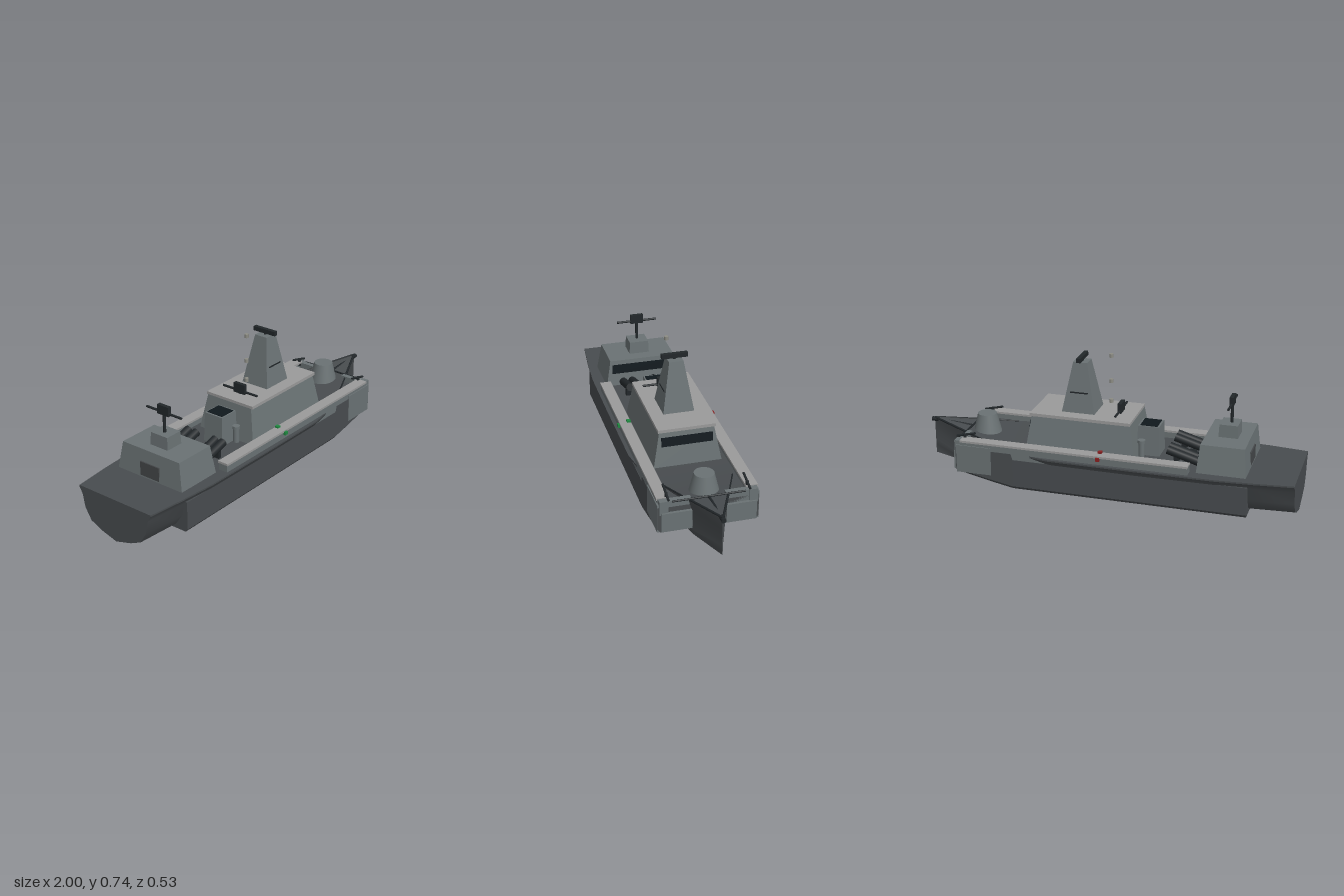
import * as THREE from 'three';
import { toCreasedNormals } from 'three/addons/utils/BufferGeometryUtils.js';

const mat = (color) => new THREE.MeshStandardMaterial({ color });
const hullMat = mat(0x484c4f), deckMat = mat(0x45484a), wallMat = mat(0x6a7274),
  roofMat = mat(0x9a9a9a), darkMat = mat(0x22272a), glassMat = mat(0x10181d),
  redMat = mat(0x8a2020), greenMat = mat(0x1f8a40), lampMat = mat(0x8c8c84);

// Closed mirrored body from stations { x, half: [[z, y], ...] } listed from top edge to keel.
function loft(stations) {
  const pos = [], idx = [];
  const rings = stations.map(({ x, half }) => {
    const other = half.filter(([z], i) => i < half.length - 1 || z > 0).reverse();
    return [...half.map(([z, y]) => [x, y, z]), ...other.map(([z, y]) => [x, y, -z])];
  });
  const n = rings[0].length;
  rings.forEach((r) => r.forEach((p) => pos.push(...p)));
  for (let i = 0; i < rings.length - 1; i++) {
    for (let j = 0; j < n; j++) {
      const k = (j + 1) % n, a = i * n + j, b = i * n + k;
      idx.push(a, b, b + n, a, b + n, a + n);
    }
  }
  // end caps fan out from a middle point
  [0, rings.length - 1].forEach((s) => {
    const y = rings[s].reduce((t, p) => t + p[1], 0) / n, c = pos.length / 3;
    pos.push(rings[s][0][0], y, 0);
    for (let j = 0; j < n; j++) {
      const a = s * n + j, b = s * n + (j + 1) % n;
      idx.push(c, ...(s ? [a, b] : [b, a]));
    }
  });
  const g = new THREE.BufferGeometry();
  g.setAttribute('position', new THREE.Float32BufferAttribute(pos, 3));
  g.setIndex(idx);
  return toCreasedNormals(g, 0.45);
}

// Box between two corners whose top can be drawn in by tx and tz on every side.
function block(x0, x1, y0, y1, z0, z1, tx = 0, tz = 0) {
  const g = new THREE.BoxGeometry(x1 - x0, y1 - y0, z1 - z0).toNonIndexed();
  const p = g.attributes.position;
  for (let i = 0; i < p.count; i++) {
    if (p.getY(i) > 0) {
      p.setX(i, p.getX(i) - Math.sign(p.getX(i)) * tx);
      p.setZ(i, p.getZ(i) - Math.sign(p.getZ(i)) * tz);
    }
  }
  g.translate((x0 + x1) / 2, (y0 + y1) / 2, (z0 + z1) / 2);
  g.computeVertexNormals();
  return g;
}

// Round bar between two points.
function rod(a, b, r, sides = 12) {
  const A = new THREE.Vector3(...a), B = new THREE.Vector3(...b), d = B.clone().sub(A);
  const g = new THREE.CylinderGeometry(r, r, d.length(), sides);
  g.applyQuaternion(new THREE.Quaternion().setFromUnitVectors(new THREE.Vector3(0, 1, 0), d.normalize()));
  return g.translate(...A.add(B).multiplyScalar(0.5).toArray());
}

export function createModel() {
  const ship = new THREE.Group();
  ship.name = 'ship';
  const add = (name, geometry, material) => {
    const m = new THREE.Mesh(geometry, material);
    m.name = name;
    ship.add(m);
    return m;
  };

  // Main hull: flared sides and shallow V bottom
  const mid = (x, w) => ({
    x, half: [[w, 0.23], [w, 0.222], [0.92 * w, 0.19], [0.86 * w, 0.12], [0.7 * w, 0.06], [0.42 * w, 0.03], [0, 0.003]],
  });
  add('hull', loft([
    mid(-1, 0.228), mid(-0.8, 0.25), mid(-0.6, 0.265), mid(-0.2, 0.267), mid(0.25, 0.265),
    { x: 0.4, half: [[0.24, 0.231], [0.24, 0.222], [0.22, 0.19], [0.2, 0.12], [0.17, 0.06], [0.11, 0.03], [0, 0.003]] },
    { x: 0.57, half: [[0.18, 0.238], [0.178, 0.228], [0.165, 0.19], [0.145, 0.12], [0.135, 0.07], [0.1, 0.035], [0, 0.008]] },
    { x: 0.77, half: [[0.097, 0.262], [0.096, 0.252], [0.08, 0.2], [0.075, 0.12], [0.08, 0.09], [0.07, 0.06], [0, 0.035]] },
    { x: 0.985, half: [[0.002, 0.287], [0.002, 0.277], [0.002, 0.22], [0.002, 0.16], [0.002, 0.13], [0.002, 0.1], [0, 0.08]] },
  ]), hullMat);

  // Wide side body around the hull
  const side = (x, y, top) => ({ x, half: [[0.249, top], [0.249, y + 0.016], [0.236, y]] });
  add('sideBody', loft([
    side(-0.77, 0.036, 0.2), side(0.45, 0.036, 0.2), side(0.46, 0.037, 0.232),
    side(0.58, 0.06, 0.232), side(0.765, 0.1, 0.236),
  ]), hullMat);

  // Side bulwarks, bow fittings and side lights
  for (const s of [1, -1]) {
    const zBlock = (x0, x1, y0, y1, a, b) => block(x0, x1, y0, y1, s > 0 ? a : -b, s > 0 ? b : -a);
    add('bulwark', zBlock(-0.45, 0.74, 0.2, 0.265, 0.2, 0.247), wallMat);
    add('bulwarkCap', zBlock(-0.47, 0.74, 0.265, 0.276, 0.19, 0.25), roofMat);
    add('bulwarkEnd', zBlock(-0.47, -0.44, 0.23, 0.27, 0.195, 0.247), wallMat);
    add('sidePanel', zBlock(0.57, 0.76, 0.1, 0.25, 0.24, 0.252), wallMat);
    add('bowPlate', zBlock(0.755, 0.78, 0.11, 0.21, 0.085, 0.235), wallMat);
    add('bowUpperPlate', zBlock(0.735, 0.765, 0.2, 0.268, 0.085, 0.21), wallMat);
    add('bowPost', zBlock(0.735, 0.772, 0.2, 0.272, 0.2, 0.243), wallMat);
    add('bowGunPost', rod([0.73, 0.25, s * 0.2], [0.73, 0.295, s * 0.2], 0.008), darkMat);
    add('bowGun', rod([0.67, 0.305, s * 0.2], [0.775, 0.28, s * 0.2], 0.006), darkMat);
    add('gunwale', rod([0.77, 0.262, s * 0.093], [0.985, 0.285, 0], 0.006, 8), darkMat);
    add('deckEdge', rod([0.57, 0.24, s * 0.178], [0.77, 0.262, s * 0.095], 0.004, 6), darkMat);
    const lamp = s > 0 ? greenMat : redMat;
    add('outerSideLight', zBlock(-0.017, 0.003, 0.252, 0.27, 0.246, 0.26), lamp);
    add('innerSideLight', zBlock(-0.017, 0.003, 0.27, 0.286, 0.192, 0.212), lamp);
  }
  add('bowCrossBar', rod([0.765, 0.265, -0.18], [0.765, 0.265, 0.18], 0.005, 8), darkMat);
  add('bowsprit', rod([0.77, 0.262, 0], [0.97, 0.275, 0], 0.007, 8), darkMat);
  add('bowspritTip', rod([0.96, 0.275, 0], [1, 0.275, 0], 0.012, 12), darkMat);

  // Gun turret base on the foredeck
  add('turret', new THREE.CylinderGeometry(0.05, 0.078, 0.115, 24).translate(0.68, 0.287, 0), wallMat);

  // Main deckhouse with roof and bridge windows
  add('deckhouse', block(-0.175, 0.405, 0.228, 0.416, -0.175, 0.175, 0.027, 0.035), wallMat);
  add('deckhouseRoof', block(-0.147, 0.387, 0.414, 0.43, -0.148, 0.148), roofMat);
  const bridge = add('bridgeWindow', block(-0.004, 0.004, -0.023, 0.023, -0.131, 0.131), glassMat);
  bridge.position.set(0.389, 0.362, 0);
  bridge.rotation.z = 0.14;

  // Tapered mast with its scanner
  add('mast', block(0.06, 0.235, 0.43, 0.69, -0.08, 0.08, 0.05, 0.043), wallMat);
  for (const s of [1, -1]) {
    add('mastSlot', block(0.1, 0.195, 0.531, 0.538, s * 0.062 - 0.003, s * 0.062 + 0.003), darkMat);
  }
  add('scannerStub', rod([0.148, 0.685, 0], [0.148, 0.7, 0], 0.008), darkMat);
  add('scanner', block(0.137, 0.159, 0.697, 0.72, -0.068, 0.068), darkMat);

  // Smaller rotating antennas on posts
  const antenna = (x, y0, yBar, y1) => {
    add('antennaPost', rod([x, y0, 0], [x, y1, 0], 0.008), darkMat);
    add('antennaBar', rod([x, yBar, -0.11], [x, yBar, 0.11], 0.006), darkMat);
    add('antennaHead', block(x - 0.01, x + 0.01, yBar - 0.012, y1, -0.035, 0.035), darkMat);
  };
  antenna(-0.06, 0.43, 0.445, 0.485);
  antenna(-0.638, 0.44, 0.545, 0.582);

  // Aft deckhouse
  add('aftHouse', block(-0.755, -0.503, 0.226, 0.374, -0.205, 0.205, 0.014, 0.025), wallMat);
  add('aftHouseTopBox', block(-0.682, -0.582, 0.374, 0.44, -0.055, 0.055, 0.003, 0.003), wallMat);
  const aftWindow = add('aftWindow', block(-0.004, 0.004, -0.025, 0.025, -0.17, 0.17), glassMat);
  aftWindow.position.set(-0.512, 0.325, 0);
  aftWindow.rotation.z = 0.094;
  add('aftDoor', block(-0.754, -0.74, 0.235, 0.31, -0.06, 0.06), deckMat);

  // Launch tubes sloping up from the deck
  for (const z of [-0.112, -0.062, 0.062, 0.112]) {
    add('launchTube', rod([-0.5, 0.25, z], [-0.335, 0.298, z], 0.022, 16), darkMat);
    add('launchTubeRest', block(-0.39, -0.37, 0.228, 0.28, z - 0.015, z + 0.015), darkMat);
  }
  add('launcherHub', rod([-0.44, 0.228, 0], [-0.44, 0.26, 0], 0.025), darkMat);

  // Funnel casing and vents between the deckhouses
  add('funnel', block(-0.28, -0.16, 0.228, 0.388, -0.06, 0.06, 0.005, 0.005), wallMat);
  add('funnelOpening', block(-0.265, -0.175, 0.385, 0.391, -0.048, 0.048), glassMat);
  for (const s of [1, -1]) {
    add('vent', rod([-0.19, 0.228, s * 0.078], [-0.19, 0.31, s * 0.078], 0.016), wallMat);
    add('ventCap', rod([-0.19, 0.305, s * 0.078], [-0.19, 0.32, s * 0.078], 0.02), wallMat);
  }

  // Lamps on the centre line
  for (const y of [0.487, 0.595, 0.731]) {
    add('mastLight', new THREE.CylinderGeometry(0.011, 0.011, 0.019, 12).translate(-0.007, y, 0), lampMat);
  }
  return ship;
}
